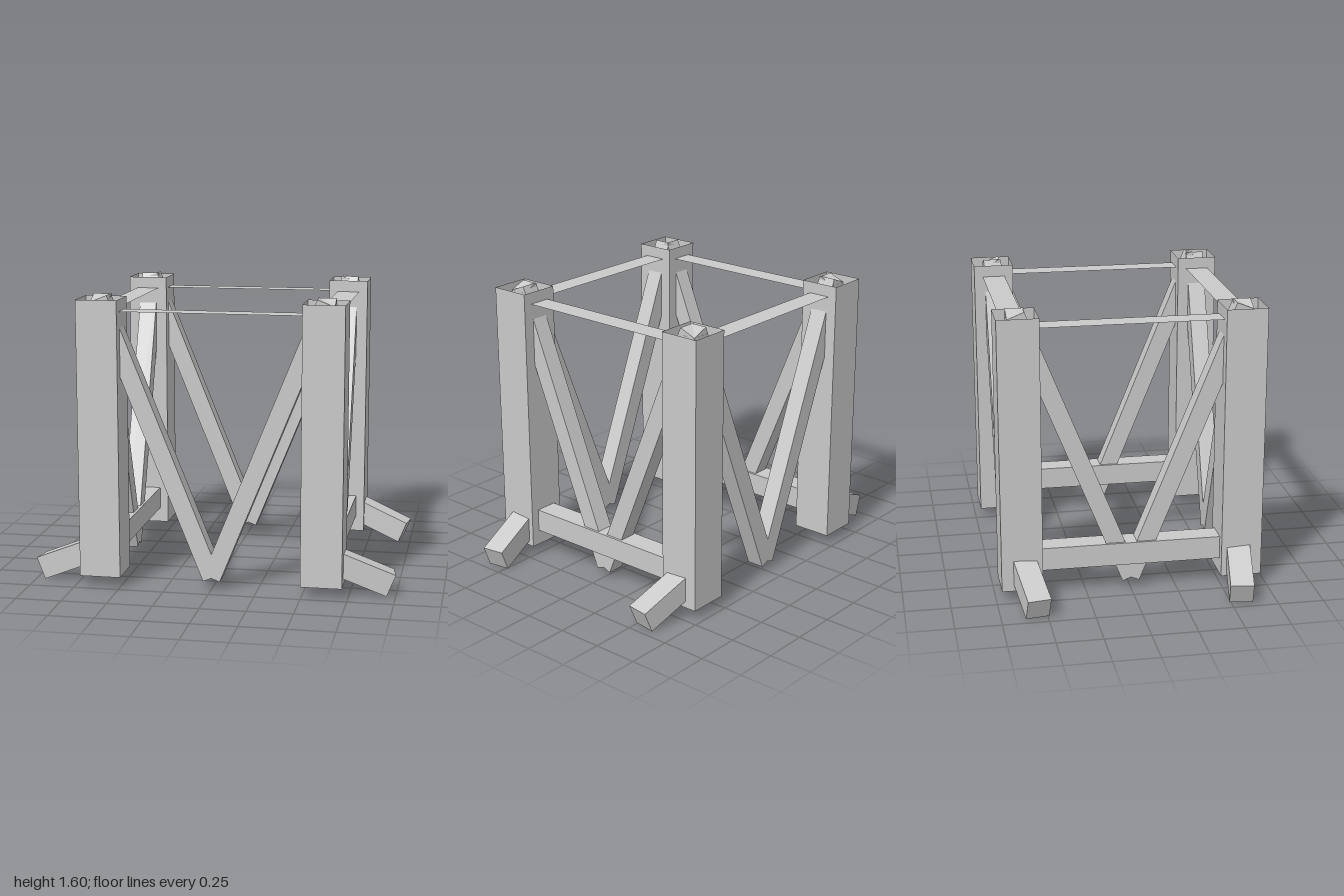
import * as THREE from 'three';

export function createModel() {
  const model = new THREE.Group();
  model.name = 'towerFrame';
  const grey = new THREE.MeshStandardMaterial({ color: 0xcacaca, side: THREE.DoubleSide });
  grey.name = 'grey';

  const C = 0.608;    // distance of post centres from the middle
  const BEAM = 0.128; // thickness of rails and feet

  const add = (name, geometry, parent = model) => {
    const mesh = new THREE.Mesh(geometry, grey);
    mesh.name = name;
    parent.add(mesh);
    return mesh;
  };

  // Square bar running from a to b
  const bar = (name, a, b, size, parent) => {
    const from = new THREE.Vector3(...a);
    const to = new THREE.Vector3(...b);
    const mesh = add(name, new THREE.BoxGeometry(size, size, from.distanceTo(to)), parent);
    mesh.position.copy(from).add(to).multiplyScalar(0.5);
    mesh.lookAt(to);
  };

  // Hollow post: box walls without top and bottom
  const postGeometry = new THREE.BoxGeometry(0.225, 1.52, 0.225);
  const walls = Array.from(postGeometry.index.array).filter((_, i) => i < 12 || i >= 24);
  postGeometry.setIndex(walls);
  postGeometry.clearGroups();

  for (const sx of [-1, 1]) {
    for (const sz of [-1, 1]) {
      add('post', postGeometry).position.set(sx * C, 0.82, sz * C);
      // Splayed foot, turned slightly inward
      bar('foot', [sx * C, 0.21, sz * C], [sx * 0.966, 0.06, sz * 0.552], BEAM);
    }
    // Low rail on each side
    bar('lowRail', [sx * C, 0.212, -C], [sx * C, 0.212, C], BEAM);
  }

  // Four faces of the frame, each with a V brace and a flat strip on top
  for (let i = 0; i < 4; i++) {
    const side = new THREE.Group();
    side.name = 'frameSide';
    for (const s of [-1, 1]) {
      bar('brace', [0, 0.064, C], [s * 0.612, 1.581, C], 0.1, side);
    }
    const strip = add('topStrip', new THREE.PlaneGeometry(2 * C, BEAM), side);
    strip.rotation.x = -Math.PI / 2;
    strip.position.set(0, 1.515, C);
    // Turn the finished side into place
    side.rotation.y = i * Math.PI / 2;
    model.add(side);
  }

  return model;
}
